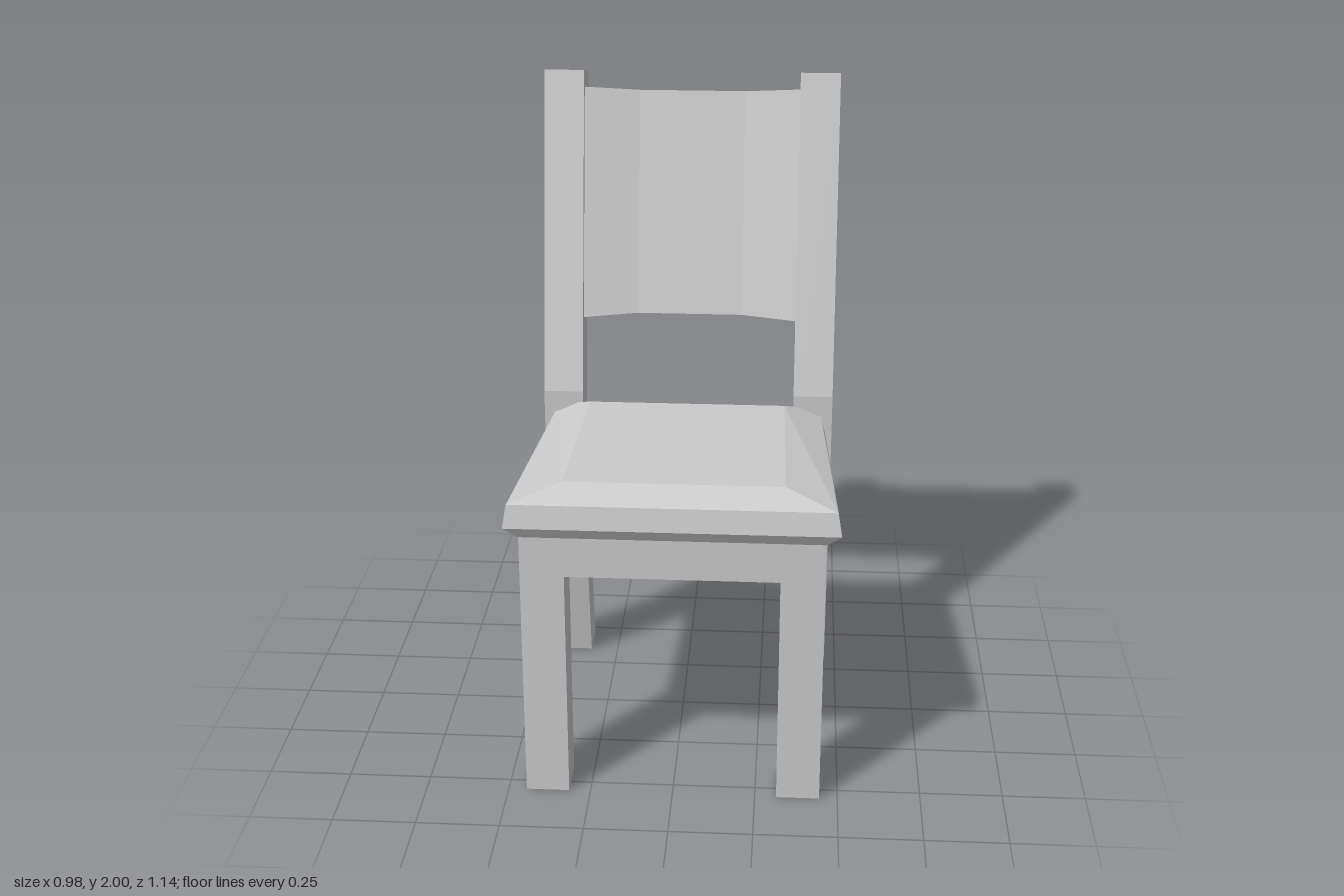
import * as THREE from 'three';

const material = new THREE.MeshStandardMaterial({ color: 0xcccccc, flatShading: true });

function addMesh(parent, geometry, name) {
  const mesh = new THREE.Mesh(geometry, material);
  mesh.name = name;
  parent.add(mesh);
  return mesh;
}

// Closed solid through four-cornered rings, each counter-clockwise seen from the last ring's end
function loft(rings) {
  const pos = [];
  const quad = (a, b, c, d) => [a, b, c, a, c, d].forEach(p => pos.push(...p));
  for (let r = 0; r < rings.length - 1; r++) {
    for (let i = 0; i < 4; i++) {
      const j = (i + 1) % 4;
      quad(rings[r][i], rings[r][j], rings[r + 1][j], rings[r + 1][i]);
    }
  }
  quad(...[...rings[0]].reverse());
  quad(...rings[rings.length - 1]);
  const geometry = new THREE.BufferGeometry();
  geometry.setAttribute('position', new THREE.Float32BufferAttribute(pos, 3));
  geometry.computeVertexNormals();
  return geometry;
}

// Trapezoid ring: half width, z and y at the front edge, then at the back edge
const trapezoid = (xf, zf, yf, xb, zb, yb) =>
  [[xf, yf, zf], [xb, yb, zb], [-xb, yb, zb], [-xf, yf, zf]];

export function createModel() {
  const chair = new THREE.Group();
  chair.name = 'chair';

  // Bent rear posts, drawn as a side profile of (z, y)
  const profile = new THREE.Shape([
    [-0.345, 0], [-0.235, 0.575], [-0.235, 1.0], [-0.45, 2.0],
    [-0.57, 1.97], [-0.355, 1.0], [-0.355, 0.58], [-0.47, 0],
  ].map(([z, y]) => new THREE.Vector2(z, y)));
  const postGeometry = new THREE.ExtrudeGeometry(profile, { depth: 0.125, bevelEnabled: false });
  postGeometry.rotateY(-Math.PI / 2).translate(0.0625, 0, 0);

  // Straight front legs
  const legGeometry = new THREE.BoxGeometry(0.13, 0.725, 0.13);
  for (const [side, s] of [['left', 1], ['right', -1]]) {
    addMesh(chair, postGeometry, side + 'RearPost').position.x = s * 0.4025;
    addMesh(chair, legGeometry, side + 'FrontLeg').position.set(s * 0.38, 0.3625, 0.483);
  }

  // Solid apron, narrowing to the back
  addMesh(chair, loft([
    trapezoid(0.445, 0.548, 0.725, 0.4, -0.3, 0.725),
    trapezoid(0.445, 0.548, 0.855, 0.4, -0.3, 0.855),
  ]), 'apron');

  // Bevelled seat cushion
  addMesh(chair, loft([
    trapezoid(0.447, 0.55, 0.85, 0.402, -0.3, 0.85),
    trapezoid(0.488, 0.57, 0.885, 0.44, -0.315, 0.873),
    trapezoid(0.476, 0.557, 0.955, 0.426, -0.31, 0.928),
    trapezoid(0.325, 0.462, 0.99, 0.312, -0.19, 0.984),
  ]), 'seat');

  // Backrest panel, hollowed at the front: rings run across the width
  const end = x => [[x, 1.23, -0.305], [x, 1.222, -0.385], [x, 1.927, -0.54], [x, 1.945, -0.46]];
  const mid = x => [[x, 1.24, -0.33], [x, 1.23, -0.383], [x, 1.92, -0.534], [x, 1.933, -0.48]];
  addMesh(chair, loft([end(-0.343), mid(-0.167), mid(0.167), end(0.343)]), 'backrest');

  return chair;
}
